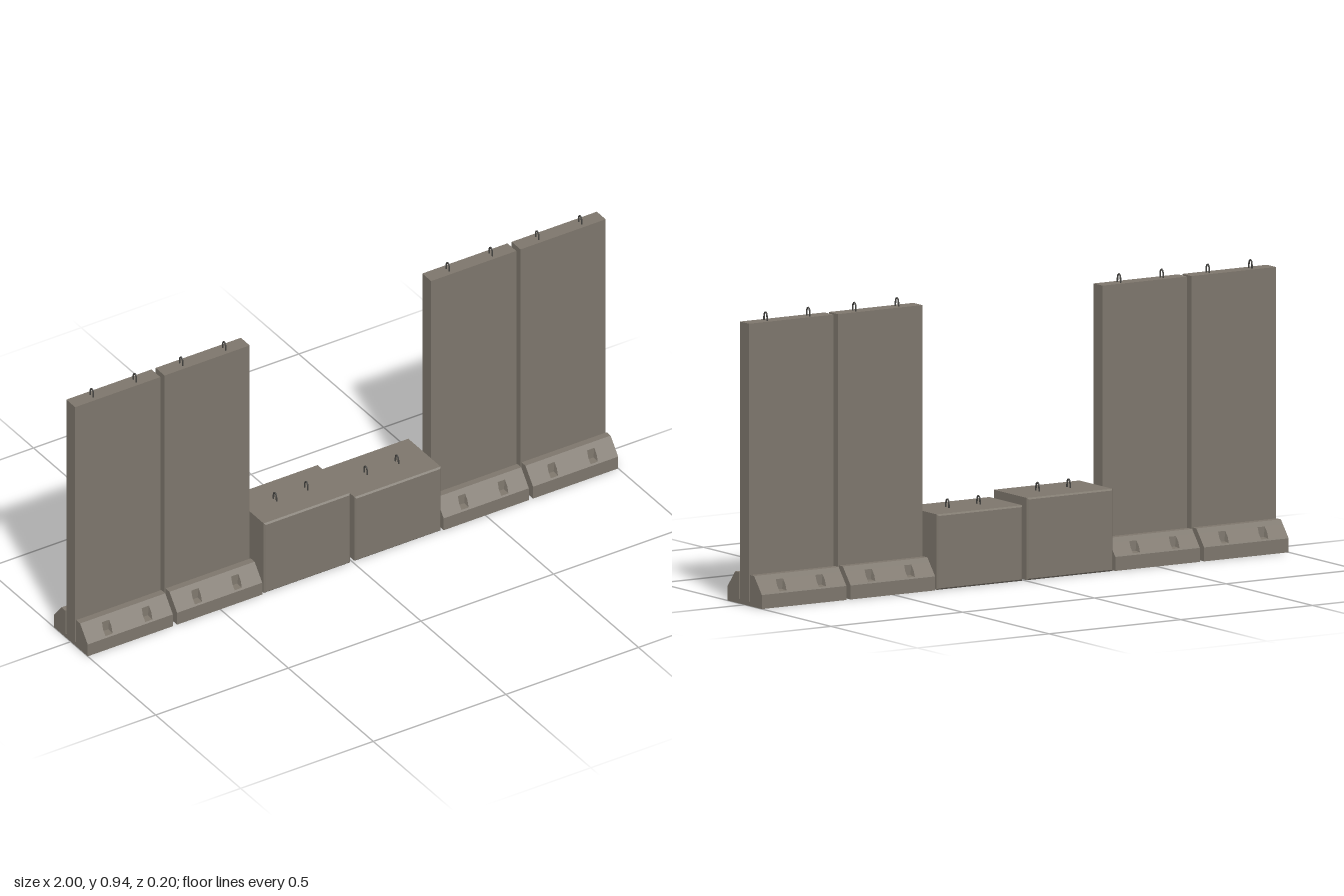
import * as THREE from 'three';

const concrete = new THREE.MeshStandardMaterial({ color: 0x7d766c });
concrete.name = 'concrete';
const steel = new THREE.MeshStandardMaterial({ color: 0x444340 });
steel.name = 'darkSteel';

// Half of the wall cross-section as [z, y]; the lifting pocket is cut when open
function wallProfile(open) {
  const half = [
    [0.1, 0], [0.1, 0.045],
    [0.0959, 0.05], open ? [0.07, 0.052] : [0.0816, 0.0675], [0.0673, 0.085],
    [0.055, 0.1], [0.032, 0.1], [0.031, 0.015], [0.026, 0.015], [0.026, 0.908],
  ];
  return [...half, ...half.map(([z, y]) => [-z, y]).reverse()];
}

// Flat-faced loft along x through sections { x, pts }
function loft(sections) {
  const pos = [];
  const put = (s, j) => pos.push(s.x, s.pts[j][1], s.pts[j][0]);
  const n = sections[0].pts.length;
  for (let i = 0; i < sections.length - 1; i++) {
    const s = sections[i], t = sections[i + 1];
    for (let j = 0; j < n; j++) {
      const k = (j + 1) % n;
      put(s, j); put(t, j); put(t, k);
      put(s, j); put(t, k); put(s, k);
    }
  }
  const first = sections[0], last = sections[sections.length - 1];
  const contour = first.pts.map(([z, y]) => new THREE.Vector2(z, y));
  for (const [a, b, c] of THREE.ShapeUtils.triangulateShape(contour, [])) {
    put(first, a); put(first, b); put(first, c);
    put(last, c); put(last, b); put(last, a);
  }
  const geo = new THREE.BufferGeometry();
  geo.setAttribute('position', new THREE.Float32BufferAttribute(pos, 3));
  geo.computeVertexNormals();
  return geo;
}

function wallGeometry() {
  const sections = [{ x: -0.1605, pts: wallProfile(false) }];
  for (const c of [-0.075, 0.075]) {
    for (const [dx, open] of [[-0.016, false], [-0.011, true], [0.011, true], [0.016, false]]) {
      sections.push({ x: c + dx, pts: wallProfile(open) });
    }
  }
  sections.push({ x: 0.1605, pts: wallProfile(false) });
  return loft(sections);
}

// Block with small chamfers on every edge
function blockGeometry(w, h, d, b) {
  const x = w / 2 - b, y = h / 2 - b;
  const shape = new THREE.Shape([
    new THREE.Vector2(-x, -y), new THREE.Vector2(x, -y),
    new THREE.Vector2(x, y), new THREE.Vector2(-x, y),
  ]);
  const geo = new THREE.ExtrudeGeometry(shape, {
    depth: d - 2 * b, bevelEnabled: true, bevelSegments: 1, bevelSize: b, bevelThickness: b,
  });
  return geo.translate(0, h / 2, -d / 2 + b);
}

// Upright lifting loop bent in the y-z plane
function loopGeometry() {
  const path = new THREE.CatmullRomCurve3([
    [-0.009, -0.01], [-0.009, 0.008], [-0.0065, 0.022], [0, 0.027],
    [0.0065, 0.022], [0.009, 0.008], [0.009, -0.01],
  ].map(([z, y]) => new THREE.Vector3(0, y, z)));
  return new THREE.TubeGeometry(path, 20, 0.0026, 8);
}

export function createModel() {
  const model = new THREE.Group();
  model.name = 'concreteBarrierRow';
  const loopGeo = loopGeometry();

  const addUnit = (name, geo, x, top, spread) => {
    const unit = new THREE.Group();
    unit.name = name;
    unit.position.x = x;
    const body = new THREE.Mesh(geo, concrete);
    body.name = name + 'Body';
    unit.add(body);
    for (const side of [-1, 1]) {
      const loop = new THREE.Mesh(loopGeo, steel);
      loop.name = side > 0 ? 'leftLiftingLoop' : 'rightLiftingLoop';
      loop.position.set(side * spread, top, 0);
      unit.add(loop);
    }
    model.add(unit);
  };

  // Tall walls at both ends
  const wall = wallGeometry();
  for (const x of [-0.8395, -0.5025, 0.5025, 0.8395]) addUnit('tallWall', wall, x, 0.908, 0.081);

  // Low blocks in the opening
  addUnit('rightBlock', blockGeometry(0.325, 0.265, 0.2, 0.005), -0.171, 0.265, 0.059);
  addUnit('leftBlock', blockGeometry(0.325, 0.243, 0.2, 0.005), 0.171, 0.243, 0.059);
  return model;
}
